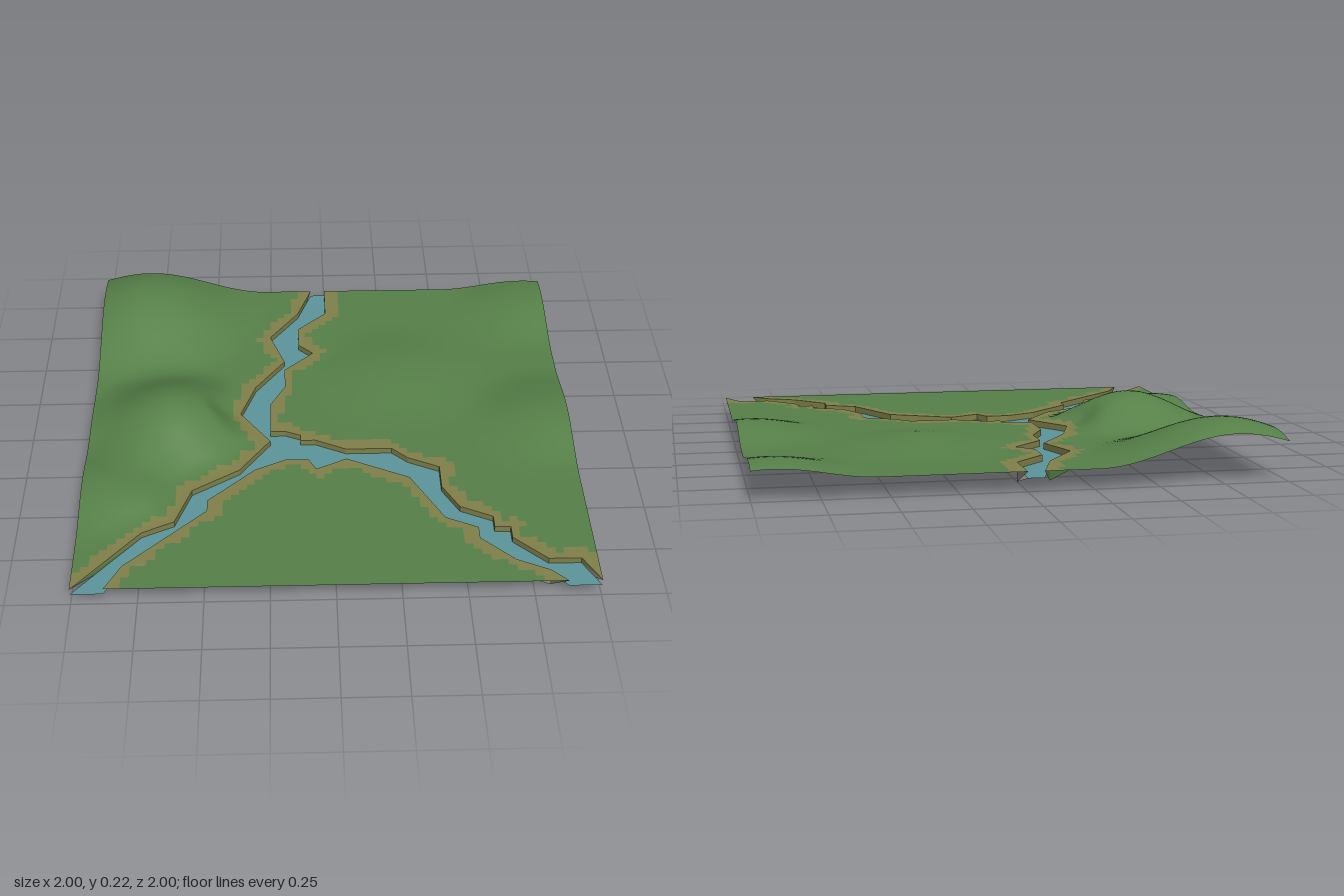
import * as THREE from 'three';

const GROUND = 0.075, WATER = 0.05;

// Bank lines as [x, z]
const WEST = [[-.0625, -1], [-.125, -.8125], [-.25, -.625], [-.1875, -.4375], [-.3125, -.25], [-.375, -.0625],
  [-.25, .125], [-.375, .3125], [-.5625, .4375], [-.625, .625], [-.75, .6875], [-1, 1]];
const EAST = [[0, -1], [0, -.8125], [-.125, -.6875], [-.125, -.5625], [-.0625, -.5], [-.1875, -.375], [-.1875, -.25],
  [-.25, -.125], [-.25, .0625], [-.1875, .0625], [-.125, .09], [-.125, .125], [-.0625, .125], [.0625, .1875],
  [.25, .1875], [.3125, .25], [.4375, .3125], [.4375, .4375], [.5, .5625], [.625, .625], [.625, .6875],
  [.6875, .6875], [.6875, .75], [.8125, .875], [.9375, .875], [1, 1]];
const SOUTH = [[-.875, 1], [-.8125, .875], [-.625, .6875], [-.5, .5625], [-.5, .5], [-.3125, .3125], [-.1875, .25],
  [-.0938, .25], [-.0625, .3125], [.0625, .25], [.3125, .375], [.4375, .625], [.5625, .6875], [.5625, .75],
  [.6875, .875], [.8125, .9375], [.875, 1]];

// Hills: x, z, height, radius
const HILLS = [[-.8, -.82, .147, .56], [-.66, 0, .132, .42], [-.88, .42, .05, .36],
  [.3, -.35, .033, .42], [.92, -.87, .055, .4], [.94, 0, .055, .4]];

function bankDistance(x, z) {
  let best = 9;
  for (const bank of [WEST, EAST, SOUTH]) {
    for (let i = 1; i < bank.length; i++) {
      const [ax, az] = bank[i - 1], dx = bank[i][0] - ax, dz = bank[i][1] - az;
      const t = THREE.MathUtils.clamp(((x - ax) * dx + (z - az) * dz) / (dx * dx + dz * dz), 0, 1);
      best = Math.min(best, Math.hypot(x - ax - t * dx, z - az - t * dz));
    }
  }
  return best;
}

function height(x, z) {
  let h = 0;
  for (const [hx, hz, top, r] of HILLS) {
    const d = Math.hypot(x - hx, z - hz) / r;
    if (d < 1) h += top * 0.5 * (1 + Math.cos(Math.PI * d));
  }
  return GROUND + h * THREE.MathUtils.smoothstep(bankDistance(x, z), 0, 0.16);
}

// Blocky, irregular width of the sandy shore
function shoreWidth(x, z) {
  const n = Math.sin(Math.floor(x * 16) * 12.99 + Math.floor(z * 16) * 78.23) * 43758.55;
  return 0.035 + 0.028 * (n - Math.floor(n));
}

function vertex(x, z) {
  const e = 0.01, y = height(x, z);
  const n = new THREE.Vector3(height(x - e, z) - height(x + e, z), 2 * e, height(x, z - e) - height(x, z + e)).normalize();
  return { p: [x, y, z], n: n.toArray() };
}

// Adds an upward facing triangle
function addTriangle(out, a, b, c) {
  const area = (b.p[2] - a.p[2]) * (c.p[0] - a.p[0]) - (b.p[0] - a.p[0]) * (c.p[2] - a.p[2]);
  if (Math.abs(area) < 1e-9) return;
  for (const v of area > 0 ? [a, b, c] : [a, c, b]) {
    out.pos.push(...v.p);
    out.nor.push(...v.n);
  }
}

// Land between a bank and a map edge; alongX swaps the sweep direction
function addLand(bank, edge, alongX, grass, sand) {
  const at = (u, v) => alongX ? vertex(u, v) : vertex(v, u);
  const clip = (k, limit) => {
    const v = edge * (1 - k / 32);
    return edge > 0 ? Math.max(v, limit) : Math.min(v, limit);
  };
  const uv = bank.map(([x, z]) => alongX ? [x, z] : [z, x]);
  for (let i = 1; i < uv.length; i++) {
    const [u0, v0] = uv[i - 1], [u1, v1] = uv[i];
    const steps = Math.ceil((u1 - u0) / 0.032);
    const row = t => {
      const u = u0 + (u1 - u0) * t, limit = v0 + (v1 - v0) * t;
      return Array.from({ length: 65 }, (_, k) => at(u, clip(k, limit)));
    };
    for (let s = 0; s < steps; s++) {
      const r0 = row(s / steps), r1 = row((s + 1) / steps);
      for (let k = 0; k < 64; k++) {
        const quad = [r0[k], r0[k + 1], r1[k + 1], r1[k]];
        const x = quad.reduce((m, q) => m + q.p[0] / 4, 0), z = quad.reduce((m, q) => m + q.p[2] / 4, 0);
        const out = bankDistance(x, z) < shoreWidth(x, z) ? sand : grass;
        addTriangle(out, quad[0], quad[1], quad[2]);
        addTriangle(out, quad[0], quad[2], quad[3]);
      }
    }
  }
}

function toGeometry({ pos, nor }) {
  const g = new THREE.BufferGeometry();
  g.setAttribute('position', new THREE.Float32BufferAttribute(pos, 3));
  if (nor.length) g.setAttribute('normal', new THREE.Float32BufferAttribute(nor, 3));
  else g.computeVertexNormals();
  return g;
}

const bucket = () => ({ pos: [], nor: [] });

// Upright bank walls: sandy band on top, earth or stone below, tapering at the map edge
function addWalls(bank, side, isStone, sand, earth, stone) {
  const strip = (out, a, b, ta, tb, la, lb) => {
    const A = [a[0], ta, a[1]], B = [b[0], tb, b[1]], C = [b[0], lb, b[1]], D = [a[0], la, a[1]];
    out.pos.push(...(side > 0 ? [A, B, C, A, C, D] : [A, C, B, A, D, C]).flat());
  };
  const foot = p => Math.abs(p[1]) === 1 ? GROUND : 0;
  for (let i = 1; i < bank.length; i++) {
    const a = bank[i - 1], b = bank[i], fa = foot(a), fb = foot(b);
    const ma = Math.max(fa, WATER), mb = Math.max(fb, WATER);
    strip(sand, a, b, GROUND, GROUND, ma, mb);
    const low = isStone((a[0] + b[0]) / 2, (a[1] + b[1]) / 2) ? stone : earth;
    strip(low, a, b, ma, mb, fa, fb);
  }
}

export function createModel() {
  const model = new THREE.Group();
  const material = (name, color) => {
    const m = new THREE.MeshStandardMaterial({ color, side: THREE.DoubleSide });
    m.name = name;
    return m;
  };
  const grassMat = material('grass', 0x578149), sandMat = material('sand', 0x80814a);
  const waterMat = material('water', 0x5c969c), stoneMat = material('stone', 0x99968a);
  const add = (name, geometry, mat) => {
    const mesh = new THREE.Mesh(geometry, mat);
    mesh.name = name;
    model.add(mesh);
  };

  // Rolling ground and sandy shores
  const grass = bucket(), shore = bucket();
  addLand(WEST, -1, false, grass, shore);
  addLand(EAST, 1, false, grass, shore);
  addLand(SOUTH, 1, true, grass, shore);
  add('hillyGround', toGeometry(grass), grassMat);
  add('sandyShore', toGeometry(shore), sandMat);

  // River channel walls
  const rim = bucket(), earth = bucket(), stone = bucket();
  addWalls(WEST, 1, () => false, rim, earth, stone);
  addWalls(EAST, -1, (x, z) => z < -0.53 || x > 0.62, rim, earth, stone);
  addWalls(SOUTH, -1, x => x > 0.31 && x < 0.8, rim, earth, stone);
  add('bankRim', toGeometry(rim), sandMat);
  add('bankWall', toGeometry(earth), grassMat);
  add('stoneBankWall', toGeometry(stone), stoneMat);

  // Forked river surface
  const outline = [...WEST, ...SOUTH, ...[...EAST].reverse()];
  const river = new THREE.ShapeGeometry(new THREE.Shape(outline.map(([x, z]) => new THREE.Vector2(x, -z))));
  river.rotateX(-Math.PI / 2).translate(0, WATER, 0);
  add('riverWater', river, waterMat);
  return model;
}
